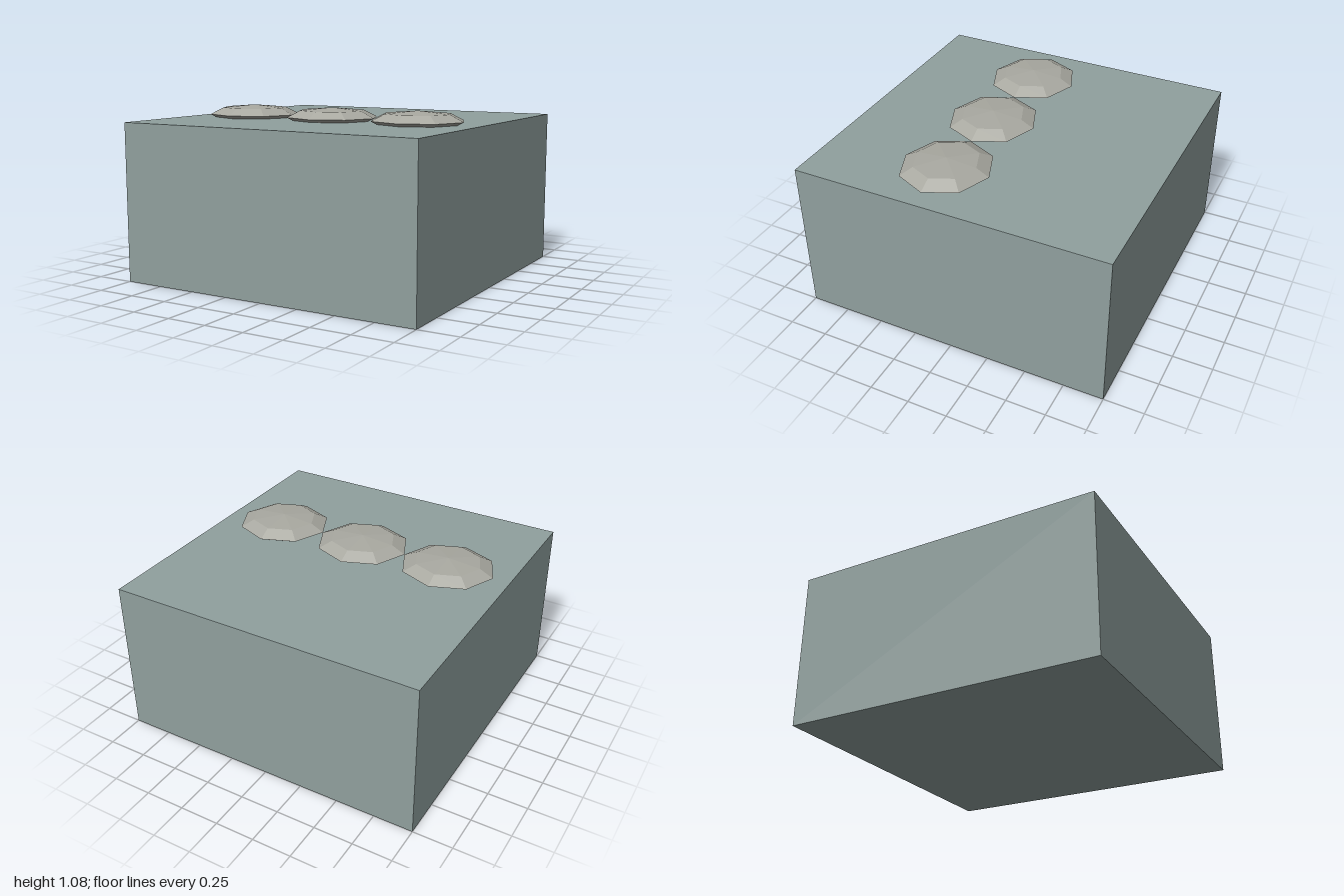
import * as THREE from 'three';

export function createModel() {
  const group = new THREE.Group();

  // Solid block
  const block = new THREE.Mesh(
    new THREE.BoxGeometry(2, 1, 2),
    new THREE.MeshStandardMaterial({ color: 0x90a09e, flatShading: true })
  );
  block.name = 'block';
  block.position.y = 0.5;
  group.add(block);

  // Row of flattened stepping stones, half sunk into the top
  const stoneGeometry = new THREE.SphereGeometry(1, 8, 4).scale(0.3, 0.06, 0.28);
  const stoneMaterial = new THREE.MeshStandardMaterial({ color: 0xa8a8a0, flatShading: true });
  for (const x of [-0.6, 0, 0.6]) {
    const stone = new THREE.Mesh(stoneGeometry, stoneMaterial);
    stone.name = 'steppingStone';
    stone.position.set(x, 1.02, 0.2);
    group.add(stone);
  }

  return group;
}
